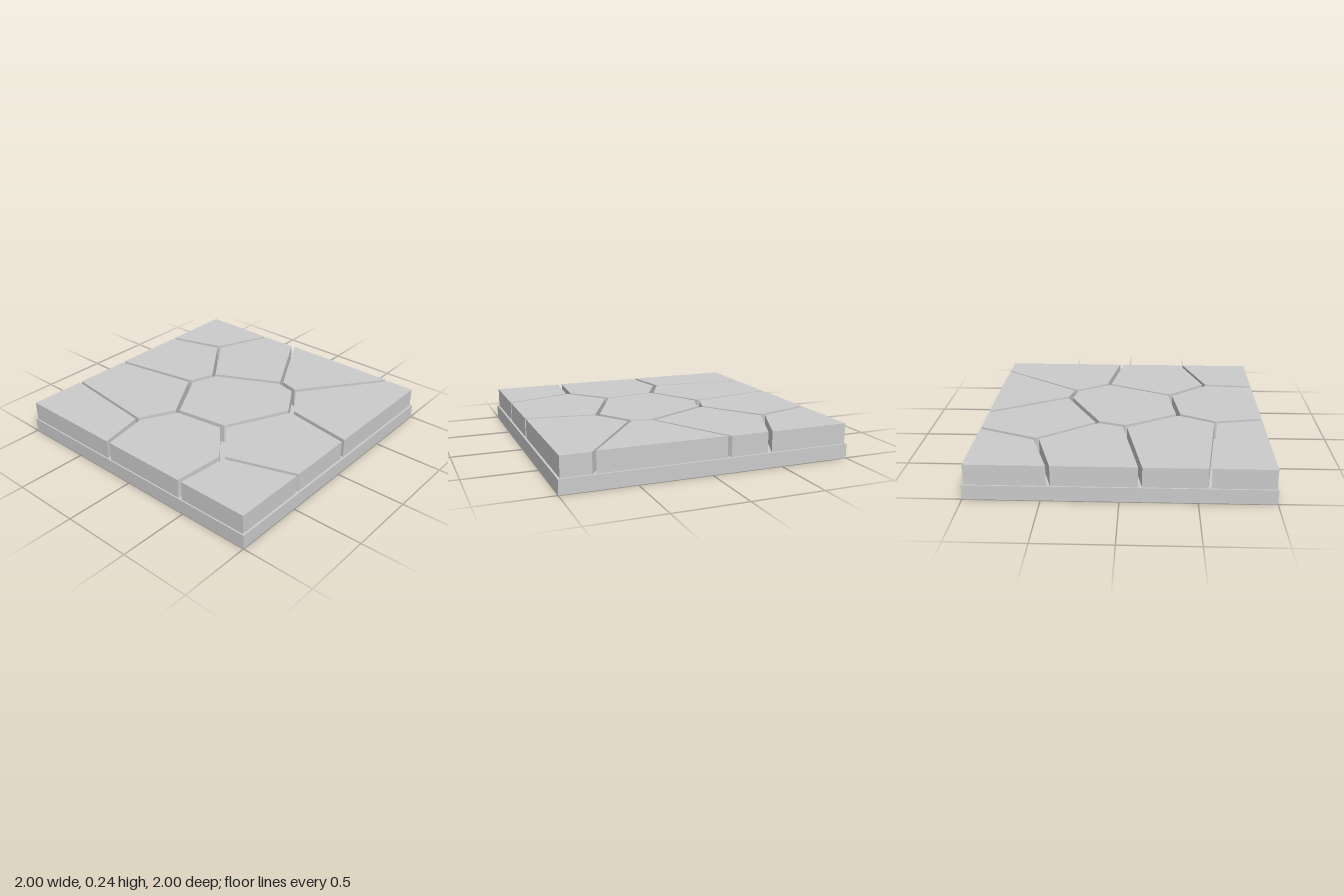
import * as THREE from 'three';

const BASE_HEIGHT = 0.1;

// Each stone: top height and its outline as [x, z] corners
const STONES = [
  ['centreStone', 0.24, [[-0.02, -0.33], [0.17, -0.27], [0.4, 0.18], [0.37, 0.32], [0.13, 0.47], [-0.325, 0.255], [-0.38, -0.12]]],
  ['rightBackStone', 0.24, [[0.58, -0.57], [0.985, -0.4], [0.985, -0.14], [0.43, 0.165], [0.195, -0.29]]],
  ['backRightCornerStone', 0.24, [[0.46, -0.99], [0.985, -0.99], [0.985, -0.43], [0.59, -0.6]]],
  ['backMiddleStone', 0.24, [[-0.12, -0.99], [0.435, -0.99], [0.555, -0.59], [0.175, -0.305], [0, -0.365]]],
  ['backLeftStone', 0.238, [[-0.56, -0.99], [-0.145, -0.99], [-0.03, -0.365], [-0.395, -0.145], [-0.645, -0.27]]],
  ['backLeftCornerStone', 0.237, [[-0.99, -0.99], [-0.58, -0.99], [-0.665, -0.275], [-0.99, -0.21]]],
  ['leftStone', 0.237, [[-0.99, -0.18], [-0.655, -0.24], [-0.41, -0.11], [-0.36, 0.25], [-0.625, 0.48], [-0.99, 0.455]]],
  ['frontLeftCornerStone', 0.236, [[-0.99, 0.485], [-0.63, 0.515], [-0.47, 0.985], [-0.99, 0.985]]],
  ['frontMiddleStone', 0.237, [[-0.335, 0.28], [0.12, 0.5], [0.04, 0.985], [-0.445, 0.985], [-0.605, 0.51]]],
  ['frontRightCornerStone', 0.238, [[0.385, 0.35], [0.985, 0.785], [0.985, 0.985], [0.07, 0.985], [0.15, 0.505]]],
  ['rightFrontStone', 0.243, [[0.985, -0.11], [0.985, 0.76], [0.4, 0.325], [0.435, 0.19]]],
];

export function createModel() {
  const model = new THREE.Group();
  model.name = 'pavedFloorTile';
  const material = new THREE.MeshStandardMaterial({ color: 0xcccccc, flatShading: true });

  // Square base slab
  const base = new THREE.Mesh(new THREE.BoxGeometry(2, BASE_HEIGHT, 2), material);
  base.name = 'baseSlab';
  base.position.y = BASE_HEIGHT / 2;
  model.add(base);

  // Paving stones, separated by narrow joints
  for (const [name, top, outline] of STONES) {
    const shape = new THREE.Shape(outline.map(([x, z]) => new THREE.Vector2(x, -z)));
    const geometry = new THREE.ExtrudeGeometry(shape, { depth: top - BASE_HEIGHT, bevelEnabled: false });
    geometry.rotateX(-Math.PI / 2);
    const stone = new THREE.Mesh(geometry, material);
    stone.name = name;
    stone.position.y = BASE_HEIGHT;
    model.add(stone);
  }
  return model;
}
